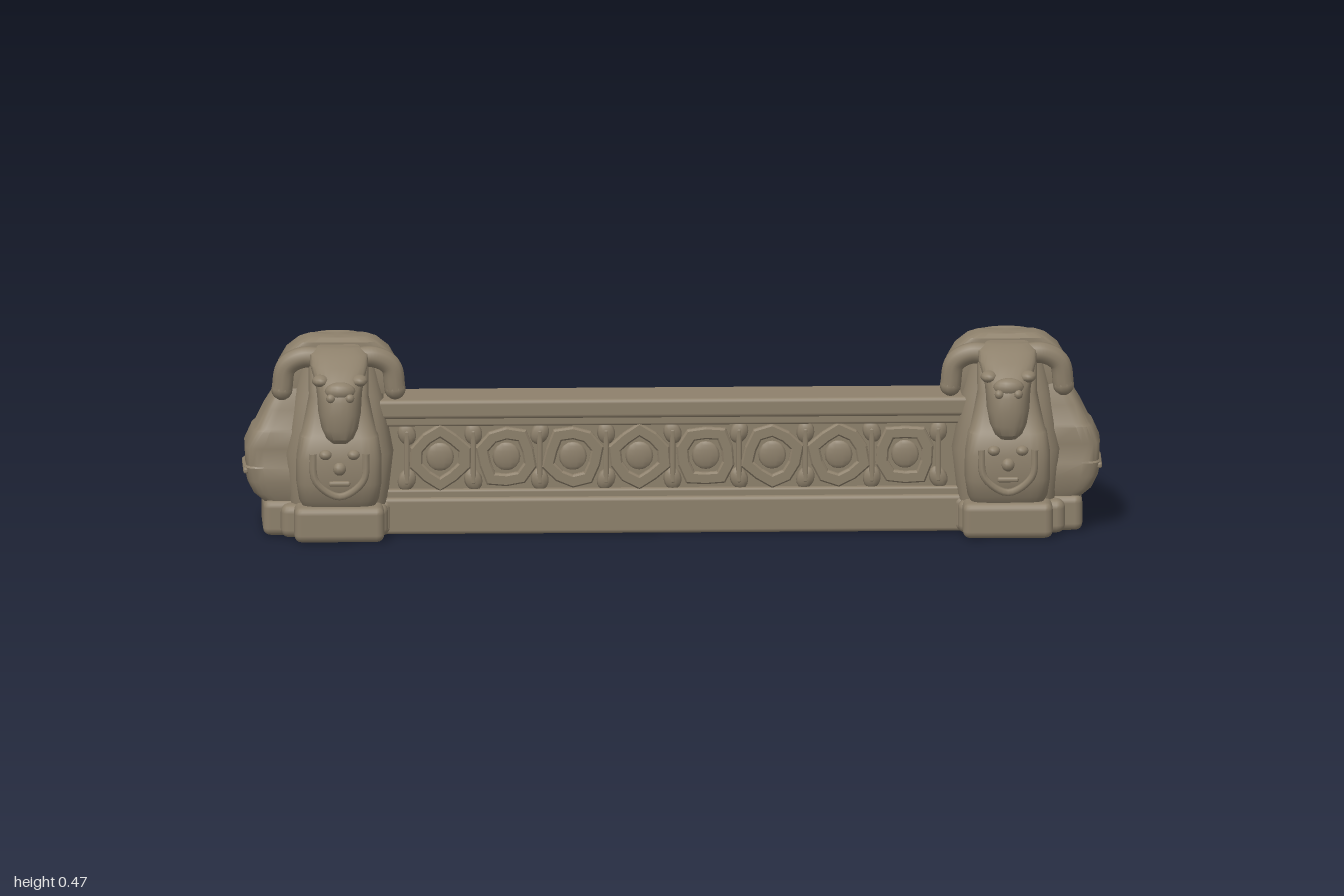
import * as THREE from 'three';
import { toCreasedNormals } from 'three/addons/utils/BufferGeometryUtils.js';
import { RoundedBoxGeometry } from 'three/addons/geometries/RoundedBoxGeometry.js';

const stone = new THREE.MeshStandardMaterial({ color: 0x8d806b });
stone.name = 'weathered stone';
const WALL_Z = -0.035;
const V = (x, y, z) => new THREE.Vector3(x, y, z);

function add(parent, name, geometry, x = 0, y = 0, z = 0) {
  const mesh = new THREE.Mesh(geometry, stone);
  mesh.name = name;
  mesh.position.set(x, y, z);
  parent.add(mesh);
  return mesh;
}

const block = (w, h, d, r = 0.015) => new RoundedBoxGeometry(w, h, d, 2, r);

// Stack of rounded-rectangle rings [y, centreX, centreZ, halfX, halfZ], closed at both ends
function loft(rings, power = 4, sides = 28) {
  const all = [rings[0], ...rings, rings[rings.length - 1]];
  const pos = [], index = [];
  const soft = v => Math.sign(v) * Math.pow(Math.abs(v), 2 / power);
  all.forEach(([y, cx, cz, hx, hz], i) => {
    const k = i === 0 || i === all.length - 1 ? 0 : 1;
    for (let j = 0; j < sides; j++) {
      const a = (j / sides) * Math.PI * 2;
      pos.push(cx + k * hx * soft(Math.cos(a)), y, cz + k * hz * soft(Math.sin(a)));
      if (i === all.length - 1) continue;
      const p = i * sides + j, q = i * sides + (j + 1) % sides;
      index.push(p, p + sides, q, q, p + sides, q + sides);
    }
  });
  const g = new THREE.BufferGeometry();
  g.setAttribute('position', new THREE.Float32BufferAttribute(pos, 3));
  g.setIndex(index);
  return toCreasedNormals(g, 0.6);
}

// Curved tube with rounded ends
function horn(parent, name, points, radius, flatten = 1) {
  const curve = new THREE.CatmullRomCurve3(points);
  const g = new THREE.Group();
  g.name = name;
  parent.add(g);
  add(g, name + 'Shaft', new THREE.TubeGeometry(curve, 24, radius, 10));
  for (const p of [points[0], points[points.length - 1]])
    add(g, name + 'Tip', new THREE.SphereGeometry(radius, 10, 8), p.x, p.y, p.z);
  g.scale.z = flatten;
  return g;
}

// Ram's head facing forward
function addHead(pillar) {
  const head = new THREE.Group();
  head.name = 'ramHead';
  pillar.add(head);
  // [y, back z, front z, half width]
  const face = [[0.25, 0.135, 0.162, 0.018], [0.262, 0.112, 0.177, 0.032], [0.285, 0.088, 0.184, 0.043],
    [0.32, 0.06, 0.186, 0.05], [0.352, 0.04, 0.184, 0.052], [0.37, 0.03, 0.178, 0.054],
    [0.395, 0.02, 0.157, 0.06], [0.42, 0.01, 0.118, 0.068], [0.44, 0.0, 0.088, 0.068], [0.453, 0.0, 0.06, 0.05]];
  add(head, 'face', loft(face.map(([y, a, b, w]) => [y, 0, (a + b) / 2 - WALL_Z, w, (b - a) / 2]), 2.5));
  // Nose bridge, nostrils and brows
  add(head, 'nose', new THREE.SphereGeometry(0.024, 14, 10), 0, 0.376, 0.196).scale.set(1.5, 0.9, 0.9);
  for (const s of [-1, 1]) {
    add(head, 'nostril', new THREE.SphereGeometry(0.011, 10, 8), s * 0.022, 0.362, 0.21);
    add(head, 'brow', new THREE.SphereGeometry(0.02, 12, 8), s * 0.045, 0.395, 0.168).scale.set(1, 0.7, 1.2);
    horn(head, 'horn', [V(s * 0.03, 0.425, 0.07), V(s * 0.085, 0.428, 0.068),
      V(s * 0.122, 0.405, 0.064), V(s * 0.132, 0.35, 0.062)], 0.025);
  }
}

// Carved mask on the front or back lobe
function addMask(pillar, f) {
  const mask = new THREE.Group();
  mask.name = 'carvedMask';
  mask.position.z = f * 0.15;
  pillar.add(mask);
  const beard = new THREE.CatmullRomCurve3([V(-0.062, 0.215, 0), V(-0.055, 0.15, f * 0.004),
    V(0, 0.113, f * 0.003), V(0.055, 0.15, f * 0.004), V(0.062, 0.215, 0)]);
  add(mask, 'maskRim', new THREE.TubeGeometry(beard, 24, 0.009, 7));
  add(mask, 'maskNose', new THREE.SphereGeometry(0.016, 10, 8), 0, 0.18, f * 0.002);
  add(mask, 'maskMouth', block(0.05, 0.012, 0.02, 0.005), 0, 0.145, f * 0.002);
  for (const s of [-1, 1])
    add(mask, 'maskEye', new THREE.SphereGeometry(0.015, 10, 8), s * 0.033, 0.213, 0).scale.y = 0.8;
}

// End pillar; s is the direction of its outer side
function addPillar(root, s) {
  const pillar = new THREE.Group();
  pillar.name = s > 0 ? 'leftPillar' : 'rightPillar';
  pillar.position.set(s * 0.78, 0, WALL_Z);
  root.add(pillar);

  // Cross-shaped foot
  add(pillar, 'footAcross', block(0.3, 0.085, 0.145, 0.018), s * 0.026, 0.0425, 0);
  add(pillar, 'footDeep', block(0.21, 0.085, 0.304, 0.018), 0, 0.0425, 0);
  add(pillar, 'footCore', block(0.25, 0.08, 0.2, 0.02), s * 0.01, 0.04, 0);
  add(pillar, 'core', loft([[0.07, 0, 0, 0.115, 0.1], [0.2, 0, 0, 0.13, 0.11],
    [0.33, 0, 0, 0.105, 0.08], [0.44, 0, 0, 0.08, 0.06]]));

  // Bulging outer lobe: [y, reach, half depth]
  const side = [[0.08, 0.175, 0.062], [0.1, 0.198, 0.07], [0.13, 0.213, 0.074], [0.163, 0.22, 0.076],
    [0.167, 0.216, 0.074], [0.21, 0.218, 0.075], [0.25, 0.2, 0.074], [0.256, 0.193, 0.07],
    [0.3, 0.172, 0.061], [0.34, 0.148, 0.05], [0.36, 0.12, 0.042]];
  add(pillar, 'outerLobe', loft(side.map(([y, r, d]) => [y, s * r / 2, 0, r / 2, d]), 6));
  add(pillar, 'outerBand', block(0.012, 0.014, 0.125, 0.005), s * 0.216, 0.155, 0);

  // Bulging front and back lobes: [y, reach, half width]
  const deep = [[0.08, 0.132, 0.085], [0.1, 0.146, 0.094], [0.14, 0.154, 0.1], [0.2, 0.155, 0.1],
    [0.25, 0.143, 0.092], [0.256, 0.138, 0.088], [0.3, 0.126, 0.078], [0.34, 0.113, 0.07],
    [0.41, 0.1, 0.07], [0.442, 0.08, 0.065]];
  for (const f of [1, -1]) {
    const rings = deep.map(([y, r, w]) => [y, 0, f * r / 2, w, r / 2]);
    add(pillar, f > 0 ? 'frontLobe' : 'backLobe', loft(rings, 5));
    addMask(pillar, f);
  }

  // Cap draped over the sides
  add(pillar, 'cap', loft([[0.335, 0, 0, 0.14, 0.046], [0.36, 0, 0, 0.146, 0.049], [0.4, 0, 0, 0.14, 0.046],
    [0.435, 0, 0, 0.12, 0.044], [0.457, 0, 0, 0.092, 0.043], [0.466, 0, 0, 0.07, 0.03]], 6));

  // Scroll hanging down the back
  horn(pillar, 'backScroll', [V(-0.085, 0.355, -0.11), V(-0.08, 0.405, -0.106), V(-0.045, 0.428, -0.085),
    V(0.045, 0.428, -0.085), V(0.08, 0.405, -0.106), V(0.085, 0.355, -0.11)], 0.026);
  addHead(pillar);
}

// Uneven carved ring with a hole
function ringGeometry(seed) {
  const outline = (rx, ry, target) => {
    const pts = [];
    for (let i = 0; i < 10; i++) {
      const a = (i + 0.5) / 10 * Math.PI * 2;
      const k = 1 + 0.09 * Math.sin(seed * 2.3 + i * 2.6);
      pts.push(new THREE.Vector2(Math.cos(a) * rx * k, Math.sin(a) * ry * k));
    }
    return target.setFromPoints(pts);
  };
  const shape = outline(0.068, 0.07, new THREE.Shape());
  shape.holes.push(outline(0.046, 0.048, new THREE.Path()));
  return new THREE.ExtrudeGeometry(shape, { depth: 0.01, bevelEnabled: true, bevelSize: 0.004, bevelThickness: 0.005, bevelSegments: 1 });
}

// Low wall with a sunken carved panel on both faces
function addWall(root) {
  const wall = new THREE.Group();
  wall.name = 'wall';
  wall.position.z = WALL_Z;
  root.add(wall);
  add(wall, 'plinth', block(1.4, 0.088, 0.132, 0.01), 0, 0.044, 0);
  add(wall, 'plinthStep', block(1.4, 0.03, 0.112, 0.006), 0, 0.091, 0);
  add(wall, 'panel', new THREE.BoxGeometry(1.4, 0.22, 0.086), 0, 0.18, 0);
  add(wall, 'railStep', block(1.4, 0.03, 0.112, 0.006), 0, 0.272, 0);
  add(wall, 'topRail', block(1.4, 0.046, 0.13, 0.01), 0, 0.299, 0);

  for (const f of [1, -1]) {
    const relief = new THREE.Group();
    relief.name = f > 0 ? 'frontRelief' : 'backRelief';
    relief.rotation.y = f > 0 ? 0 : Math.PI;
    wall.add(relief);
    for (let i = 0; i < 8; i++) {
      const x = (i - 3.5) * 0.155;
      add(relief, 'carvedRing', ringGeometry(i + 1), x, 0.182, 0.042);
      add(relief, 'ringBoss', new THREE.SphereGeometry(0.034, 10, 8), x, 0.182, 0.042).scale.z = 0.25;
    }
    // Leaves filling the gaps between rings
    for (let i = 0; i <= 8; i++) {
      const x = (i - 4) * 0.155;
      for (const v of [-1, 1]) {
        const leaf = add(relief, 'carvedLeaf', new THREE.SphereGeometry(0.03, 10, 8), x, 0.182 + v * 0.055, 0.044);
        leaf.scale.set(0.7, 0.9, 0.4);
        leaf.rotation.z = Math.sin(i * 1.9 + v) * 0.4;
      }
      add(relief, 'carvedStem', block(0.013, 0.13, 0.022, 0.005), x, 0.182, 0.045);
    }
  }
}

export function createModel() {
  const model = new THREE.Group();
  model.name = 'stoneBalustrade';
  addWall(model);
  for (const s of [-1, 1]) addPillar(model, s);
  return model;
}
